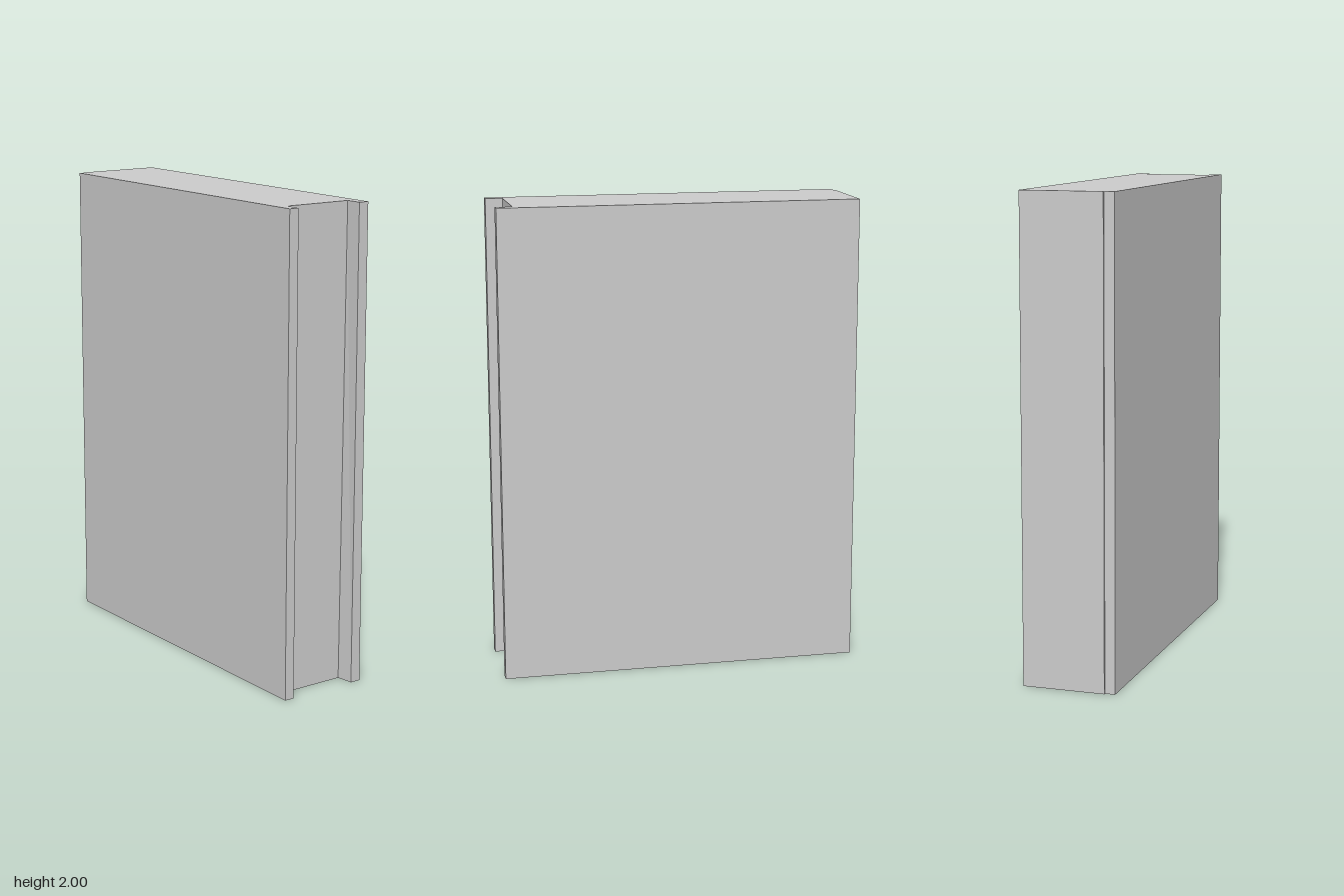
import * as THREE from 'three';

export function createModel() {
  const group = new THREE.Group();
  const height = 2;

  // Plan outline as [x, z]: a slab with a shallow step on one edge and a channel on the other
  const outline = [
    [-0.757, 0.195], [0.762, 0.195], [0.762, 0.152], [0.69, 0.152],
    [0.69, -0.15], [0.762, -0.15], [0.762, -0.195],
    [-0.765, -0.195], [-0.765, 0.152], [-0.757, 0.152],
  ];
  const shape = new THREE.Shape(outline.map(([x, z]) => new THREE.Vector2(x, -z)));
  const geometry = new THREE.ExtrudeGeometry(shape, { depth: height, bevelEnabled: false });
  geometry.rotateX(-Math.PI / 2);

  // The channel's rear inner corner thickens slightly towards the base
  const pos = geometry.attributes.position;
  for (let i = 0; i < pos.count; i++) {
    const inner = Math.abs(pos.getX(i) - 0.69) < 1e-3 && Math.abs(pos.getZ(i) + 0.15) < 1e-3;
    if (inner) pos.setZ(i, -0.15 + 0.01 * (1 - pos.getY(i) / height));
  }
  geometry.computeVertexNormals();

  const panel = new THREE.Mesh(
    geometry,
    new THREE.MeshStandardMaterial({ color: 0xcccccc, flatShading: true }),
  );
  panel.name = 'channelledPanel';
  group.add(panel);
  return group;
}
